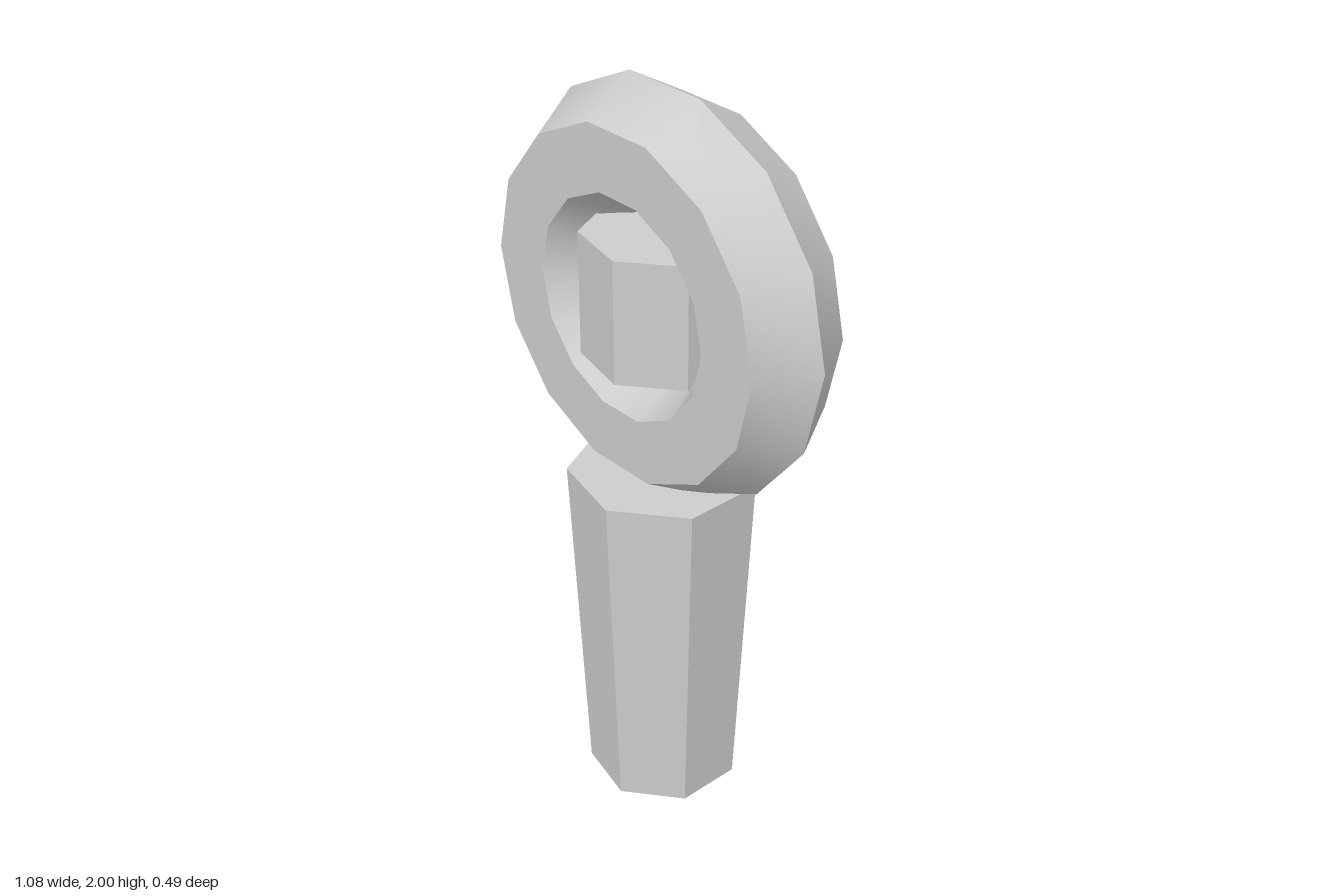
import * as THREE from 'three';
import { toCreasedNormals } from 'three/addons/utils/BufferGeometryUtils.js';

export function createModel() {
  const model = new THREE.Group();
  model.name = 'ringHeadedStaff';

  const grey = new THREE.MeshStandardMaterial({ color: 0xcccccc });
  grey.name = 'light grey';

  const add = (name, geometry, crease, y) => {
    const mesh = new THREE.Mesh(toCreasedNormals(geometry, crease), grey);
    mesh.name = name;
    mesh.position.y = y;
    model.add(mesh);
  };

  // Seven-sided prism with one corner pointing to -x
  const prism = (top, bottom, height) =>
    new THREE.CylinderGeometry(top, bottom, height, 7, 1, false, -Math.PI / 2);

  // Tapered handle, wider at the top
  add('handle', prism(0.25, 0.206, 0.966), 0.3, 0.483);

  // Ring with a hexagonal section, smooth around its length
  add('ring', new THREE.TorusGeometry(0.374, 0.168, 6, 14), 0.6, 1.471);

  // Straight core standing in the ring's hole
  add('core', prism(0.206, 0.206, 0.33), 0.3, 1.471);

  return model;
}
